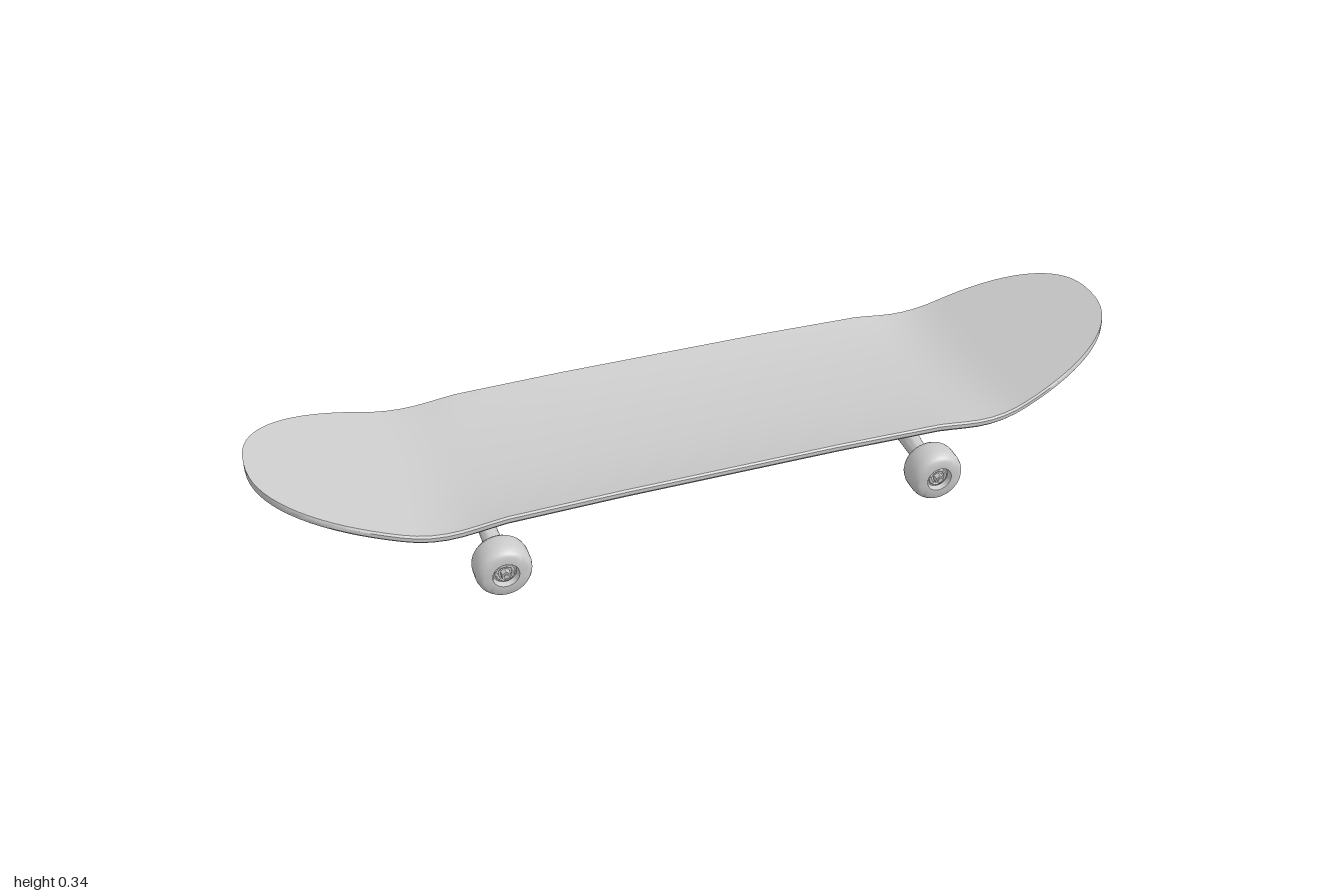
import * as THREE from 'three';
import { toCreasedNormals } from 'three/addons/utils/BufferGeometryUtils.js';

const grey = new THREE.MeshStandardMaterial({ color: 0xcccccc });
const AXLE_Y = 0.064;

function add(parent, name, geometry, x = 0, y = 0, z = 0, crease = 0.6) {
  const mesh = new THREE.Mesh(toCreasedNormals(geometry, crease), grey);
  mesh.name = name;
  mesh.position.set(x, y, z);
  parent.add(mesh);
  return mesh;
}

// Skin closed loops of [x, y, z] points, one loop per section
function loft(sections) {
  const n = sections[0].length, index = [];
  for (let i = 0; i < sections.length - 1; i++) {
    for (let j = 0; j < n; j++) {
      const a = i * n + j, c = i * n + (j + 1) % n;
      index.push(a, c, a + n, a + n, c, c + n);
    }
  }
  const g = new THREE.BufferGeometry();
  g.setAttribute('position', new THREE.Float32BufferAttribute(sections.flat(2), 3));
  g.setIndex(index);
  g.computeVertexNormals();
  return g;
}

// Underside height along the centre line: flat middle, upturned nose and tail
function deckBase(x) {
  const d = Math.max(0, Math.abs(x) - 0.57), bend = 0.14;
  const slope = x > 0 ? 0.372 : 0.322;
  return 0.186 + slope * (d < bend ? d * d / (2 * bend) : d - bend / 2);
}

// Half width of the outline, rounded off at both ends
function deckHalfWidth(x) {
  const t = Math.max(0, (Math.abs(x) - 0.6) / 0.4);
  return 0.243 * Math.pow(Math.max(0, 1 - Math.pow(t, 2.35)), 1 / 2.35);
}

function deckGeometry() {
  const xs = [];
  for (let i = 0; i <= 24; i++) xs.push(0.5 + 0.5 * Math.sin(i / 24 * Math.PI / 2));
  const all = [...xs.map(x => -x).reverse(), -0.25, 0, 0.25, ...xs];

  // Section outline: u across the width, v through the thickness
  const profile = [];
  const steps = 16;
  for (let k = 0; k <= steps; k++) profile.push([(k / steps * 2 - 1) * 0.985, 1]);
  profile.push([1, 0.75], [1, 0.3]);
  for (let k = steps; k >= 0; k--) profile.push([(k / steps * 2 - 1) * 0.975, 0]);
  profile.push([-1, 0.3], [-1, 0.75]);

  return loft(all.map(x => {
    const w = deckHalfWidth(x), base = deckBase(x);
    const dish = 0.026 * (1 - THREE.MathUtils.smoothstep(Math.abs(x), 0.42, 0.72));
    return profile.map(([u, v]) => {
      const z = u * w;
      return [x, base + dish * Math.pow(Math.abs(z) / 0.243, 2.2) + v * 0.02, z];
    });
  }));
}

// Axle tube that flares up into a pivot arm in the middle
function hangerGeometry() {
  const sections = [];
  for (let i = 0; i <= 32; i++) {
    const z = -0.165 + 0.33 * i / 32;
    const flare = 0.054 * Math.exp(-Math.pow(Math.abs(z) / 0.042, 1.3));
    const loop = [];
    for (let j = 0; j < 20; j++) {
      const a = j / 20 * Math.PI * 2, s = Math.sin(a), up = Math.max(0, s);
      loop.push([0.021 * Math.cos(a) + 0.65 * flare * up, 0.021 * s + flare * up, z]);
    }
    sections.push(loop);
  }
  return loft(sections);
}

function wheelGeometry() {
  const half = [[0, 0.026], [0.026, 0.026], [0.03, 0.0385], [0.049, 0.0385],
    [0.056, 0.034], [0.061, 0.026], [0.0635, 0.015]];
  const profile = [...half.map(([r, y]) => [r, -y]), ...half.slice().reverse()];
  const g = new THREE.LatheGeometry(profile.map(p => new THREE.Vector2(...p)), 32);
  return g.rotateX(Math.PI / 2);
}

// Truck facing outward along +x
function createTruck() {
  const truck = new THREE.Group();
  truck.name = 'truck';

  add(truck, 'baseplate', new THREE.BoxGeometry(0.18, 0.012, 0.114), -0.01, 0.183, 0);

  // Pivot and kingpin housing, slightly narrower at the bottom
  const side = new THREE.Shape([[-0.075, 0.184], [-0.068, 0.165], [-0.015, 0.155],
    [0.022, 0.138], [0.056, 0.138], [0.078, 0.184]].map(p => new THREE.Vector2(...p)));
  const housing = new THREE.ExtrudeGeometry(side, { depth: 0.064, bevelEnabled: false });
  housing.translate(0, 0, -0.032);
  const p = housing.attributes.position;
  for (let i = 0; i < p.count; i++) {
    p.setZ(i, p.getZ(i) * (0.8 + 0.2 * (p.getY(i) - 0.138) / 0.046));
  }
  add(truck, 'pivotHousing', housing);

  add(truck, 'hanger', hangerGeometry(), 0, AXLE_Y, 0);

  // Kingpin stack, tilted inward at its lower end
  const kingpin = new THREE.Group();
  kingpin.name = 'kingpin';
  kingpin.position.set(-0.055, 0.125, 0);
  kingpin.rotation.z = -0.42;
  truck.add(kingpin);
  const stack = [
    ['upperBushing', 0.026, 0.021, 0.026, 0.024],
    ['hangerRing', 0.027, 0.027, 0.013, 0.004],
    ['lowerBushing', 0.021, 0.024, 0.017, -0.011],
    ['washer', 0.025, 0.025, 0.004, -0.021],
    ['kingpinBolt', 0.008, 0.008, 0.085, 0]
  ];
  for (const [name, top, bottom, height, y] of stack) {
    add(kingpin, name, new THREE.CylinderGeometry(top, bottom, height, 20), 0, y, 0);
  }
  add(kingpin, 'kingpinNut', new THREE.CylinderGeometry(0.014, 0.014, 0.011, 6), 0, -0.029, 0);

  // Web joining the ring to the axle tube
  const web = add(truck, 'hangerWeb', new THREE.BoxGeometry(0.065, 0.024, 0.038), -0.022, 0.095, 0);
  web.rotation.z = -0.75;

  // Mounting nuts under the plate
  for (const x of [-0.082, 0.06]) {
    for (const z of [-0.046, 0.046]) {
      add(truck, 'mountingNut', new THREE.CylinderGeometry(0.008, 0.007, 0.01, 6), x, 0.174, z);
    }
  }

  // Wheels with bearings and axle nuts
  for (const s of [-1, 1]) {
    add(truck, 'wheel', wheelGeometry(), 0, AXLE_Y, s * 0.196);
    add(truck, 'bearing', new THREE.TorusGeometry(0.019, 0.004, 8, 24), 0, AXLE_Y, s * 0.223, 1);
    add(truck, 'axleNut', new THREE.CylinderGeometry(0.011, 0.011, 0.014, 6).rotateX(Math.PI / 2),
      0, AXLE_Y, s * 0.229);
    add(truck, 'axleEnd', new THREE.CylinderGeometry(0.006, 0.006, 0.02, 12).rotateX(Math.PI / 2),
      0, AXLE_Y, s * 0.2285);
  }
  return truck;
}

export function createModel() {
  const board = new THREE.Group();
  board.name = 'skateboard';
  add(board, 'deck', deckGeometry());

  const noseTruck = createTruck();
  noseTruck.name = 'noseTruck';
  noseTruck.position.x = 0.516;
  const tailTruck = createTruck();
  tailTruck.name = 'tailTruck';
  tailTruck.position.x = -0.511;
  tailTruck.rotation.y = Math.PI;
  board.add(noseTruck, tailTruck);
  return board;
}
